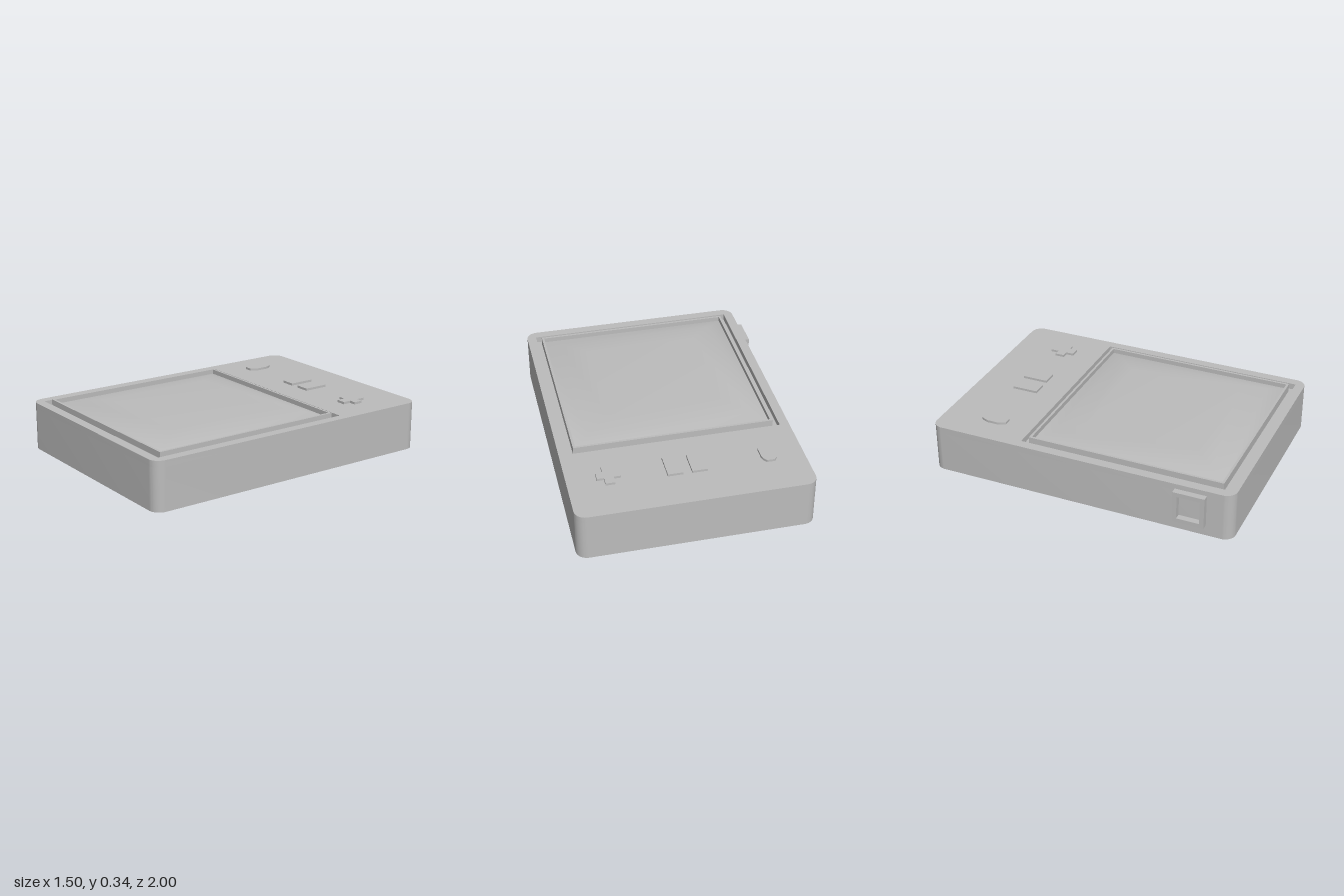
import * as THREE from 'three';
import { toCreasedNormals } from 'three/addons/utils/BufferGeometryUtils.js';

const grey = new THREE.MeshStandardMaterial({ color: 0xbcbcbc });
grey.name = 'plain grey';

const BODY_TOP = 0.31, RAISED = 0.325, FLOOR = 0.27;
const SCREEN_X = 0.02, SCREEN_Z = 0.27;

// Shapes are drawn in plan (x, z); extrusion runs upward from y0 to y1.
function slab(name, shape, y0, y1) {
  let geo = new THREE.ExtrudeGeometry(shape, { depth: y1 - y0, bevelEnabled: false, curveSegments: 8 });
  geo.rotateX(-Math.PI / 2).translate(0, y0, 0);
  geo = toCreasedNormals(geo, 0.5);
  const mesh = new THREE.Mesh(geo, grey);
  mesh.name = name;
  return mesh;
}

// Polygon from plan points; z is flipped so the extrusion lands the right way round
const plan = (pts) => pts.map(([x, z]) => new THREE.Vector2(x, -z));
const rect = (cx, cz, hx, hz) => plan([
  [cx - hx, cz + hz], [cx + hx, cz + hz], [cx + hx, cz - hz], [cx - hx, cz - hz],
]);

function roundedRect(x0, x1, z0, z1, r) {
  const s = new THREE.Shape();
  s.absarc(x1 - r, z1 - r, r, 0, Math.PI / 2);
  s.absarc(x0 + r, z1 - r, r, Math.PI / 2, Math.PI);
  s.absarc(x0 + r, z0 + r, r, Math.PI, Math.PI * 1.5);
  s.absarc(x1 - r, z0 + r, r, Math.PI * 1.5, Math.PI * 2);
  s.closePath();
  return s;
}

// Square rings [half size, height] joined into a smooth domed pane
function domedPane(rings) {
  const pos = [], index = [];
  for (const [h, y] of rings) {
    for (const [sx, sz] of [[-1, 1], [1, 1], [1, -1], [-1, -1]]) {
      pos.push(SCREEN_X + sx * h, y, SCREEN_Z + sz * h);
    }
  }
  for (let r = 0; r < rings.length - 1; r++) {
    for (let i = 0; i < 4; i++) {
      const a = r * 4 + i, b = r * 4 + (i + 1) % 4;
      index.push(a, b, b + 4, a, b + 4, a + 4);
    }
  }
  const c = (rings.length - 1) * 4;
  index.push(c, c + 1, c + 2, c, c + 2, c + 3);
  const geo = new THREE.BufferGeometry();
  geo.setAttribute('position', new THREE.Float32BufferAttribute(pos, 3));
  geo.setIndex(index);
  geo.computeVertexNormals();
  const mesh = new THREE.Mesh(geo, grey);
  mesh.name = 'screen';
  return mesh;
}

export function createModel() {
  const model = new THREE.Group();
  model.name = 'handheldDevice';

  // Case with a square pocket cut into its top
  const body = new THREE.Group();
  body.name = 'body';
  const outline = () => roundedRect(-0.71, 0.75, -1, 1, 0.07);
  const upper = outline();
  upper.holes.push(new THREE.Path(rect(SCREEN_X, SCREEN_Z, 0.67, 0.67).reverse()));
  body.add(slab('lowerCase', outline(), 0, FLOOR), slab('upperCase', upper, FLOOR, BODY_TOP));
  model.add(body);

  // Thin raised frame standing in the pocket, and the domed screen inside it
  const frame = new THREE.Shape(rect(SCREEN_X, SCREEN_Z, 0.635, 0.635));
  frame.holes.push(new THREE.Path(rect(SCREEN_X, SCREEN_Z, 0.62, 0.62).reverse()));
  model.add(slab('screenFrame', frame, FLOOR, RAISED));
  model.add(domedPane([[0.62, 0.295], [0.52, 0.325], [0.37, 0.343]]));

  // Buttons along the back strip
  const bz = -0.66, hz = 0.083;
  const oval = new THREE.Shape(plan([
    [-0.515, bz + hz], [-0.465, bz + hz], [-0.448, bz + 0.06], [-0.44, bz + 0.035],
    [-0.44, bz - 0.035], [-0.448, bz - 0.06], [-0.465, bz - hz], [-0.515, bz - hz],
    [-0.53, bz - 0.06], [-0.538, bz - 0.035], [-0.538, bz + 0.035], [-0.53, bz + 0.06],
  ]));
  model.add(slab('ovalButton', oval, BODY_TOP, RAISED));
  for (const x of [-0.048, 0.102]) {
    model.add(slab('squareButton', new THREE.Shape(rect(x, bz, 0.047, hz)), BODY_TOP, RAISED));
  }
  const cx = 0.495, a = 0.03, w = 0.073;
  const cross = new THREE.Shape(plan([
    [cx - a, bz + hz], [cx + a, bz + hz], [cx + a, bz + a], [cx + w, bz + a],
    [cx + w, bz - a], [cx + a, bz - a], [cx + a, bz - hz], [cx - a, bz - hz],
    [cx - a, bz - a], [cx - w, bz - a], [cx - w, bz + a], [cx - a, bz + a],
  ]));
  model.add(slab('crossPad', cross, BODY_TOP, RAISED));

  // Hollow socket on the side
  const ring = new THREE.Shape(rect(0, 0, 0.1, 0.104));
  ring.holes.push(new THREE.Path(rect(0, 0, 0.072, 0.076).reverse()));
  const socket = slab('sideSocket', ring, 0, 0.04);
  socket.geometry.rotateX(Math.PI / 2).rotateY(-Math.PI / 2);
  socket.position.set(-0.71, 0.174, 0.735);
  model.add(socket);

  return model;
}
